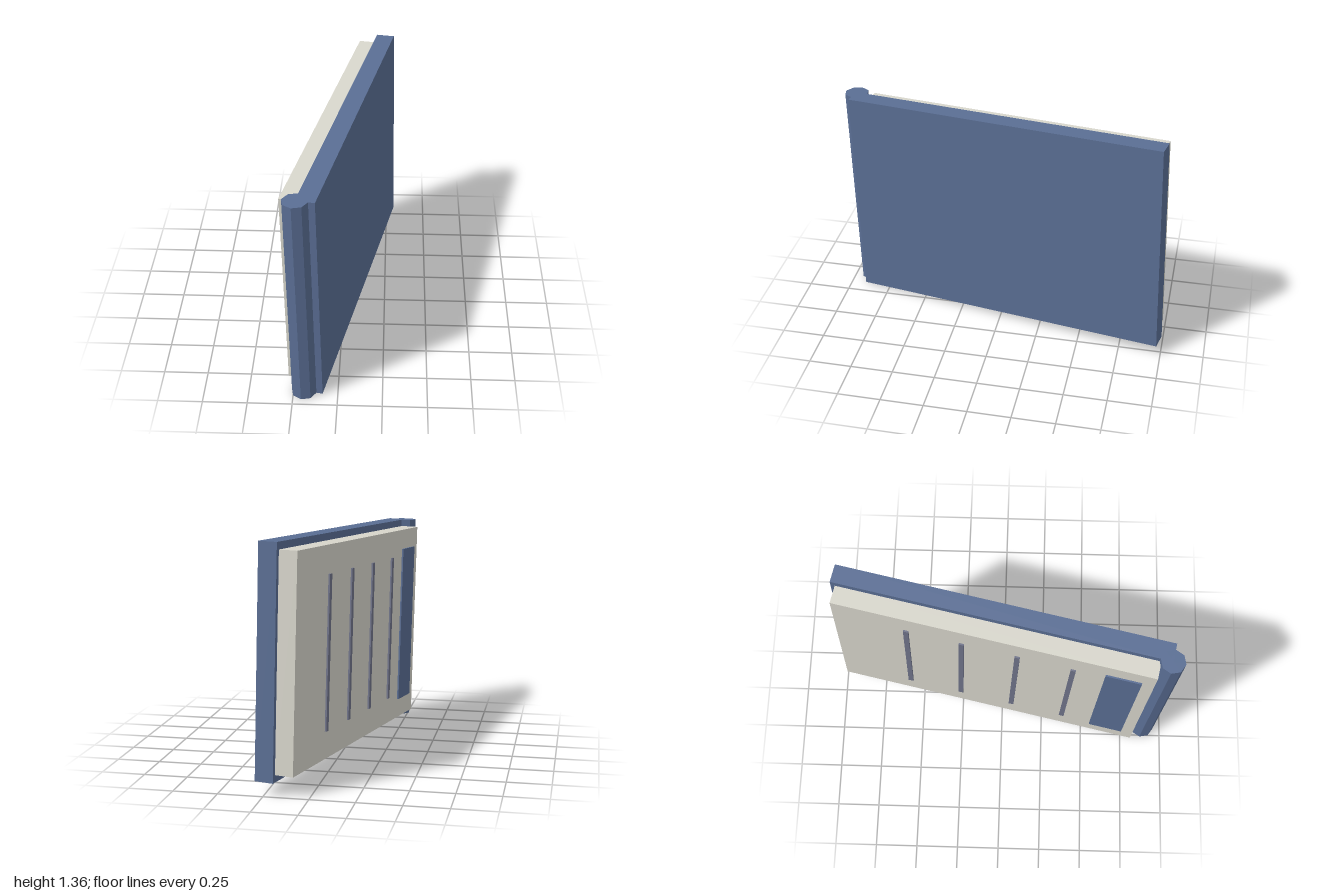
import * as THREE from 'three';

const material = (color) => new THREE.MeshStandardMaterial({ color, flatShading: true });

export function createModel() {
  const model = new THREE.Group();
  model.name = 'openBookHalf';

  const blue = material(0x5a6e94);
  const paper = material(0xd8d6cc);
  const ink = material(0x70748a);

  const height = 1.282;   // cover height
  const length = 1.925;   // spine to free edge
  const cover = 0.107;    // cover thickness
  const pages = 0.105;    // page block thickness

  // Box given by its ranges: a = out through the cover, b = up, c = away from the spine
  const slab = (name, mat, [a0, a1], [b0, b1], [c0, c1]) => {
    const mesh = new THREE.Mesh(new THREE.BoxGeometry(a1 - a0, b1 - b0, c1 - c0), mat);
    mesh.position.set((a0 + a1) / 2, (b0 + b1) / 2, -(c0 + c1) / 2);
    mesh.name = name;
    model.add(mesh);
  };

  slab('cover', blue, [-cover, 0], [0, height], [0, length]);

  const face = -cover - pages;
  slab('pageBlock', paper, [face, -cover], [0.041, height - 0.041], [0.06, 1.9]);

  // Eight-sided spine along the near edge
  const spine = new THREE.Mesh(new THREE.CylinderGeometry(0.071, 0.071, height, 8), blue);
  spine.position.set(-cover, height / 2, 0);
  spine.name = 'spine';
  model.add(spine);

  // Raised panel and four thin lines on the open page
  const mid = height / 2;
  const raised = [face - 0.01, face + 0.005];
  slab('pagePanel', blue, raised, [mid - 0.48, mid + 0.48], [0.13, 0.335]);
  for (let i = 0; i < 4; i++) {
    const c = 0.515 + i * 0.32;
    slab('pageLine', ink, raised, [mid - 0.44, mid + 0.44], [c - 0.015, c + 0.015]);
  }

  // Lean the whole piece: along the cover, then up, then outward
  const along = new THREE.Vector3(0.2, 0.037, -0.979).normalize();
  const up = new THREE.Vector3(-0.0195, 0.999, 0.031);
  const out = along.clone().cross(up).normalize();
  up.copy(out).cross(along).normalize();
  model.quaternion.setFromRotationMatrix(new THREE.Matrix4().makeBasis(out, up, along.negate()));
  model.position.set(-0.085, 0.005, 0.91);

  const root = new THREE.Group();
  root.name = 'leaningBook';
  root.add(model);
  return root;
}
